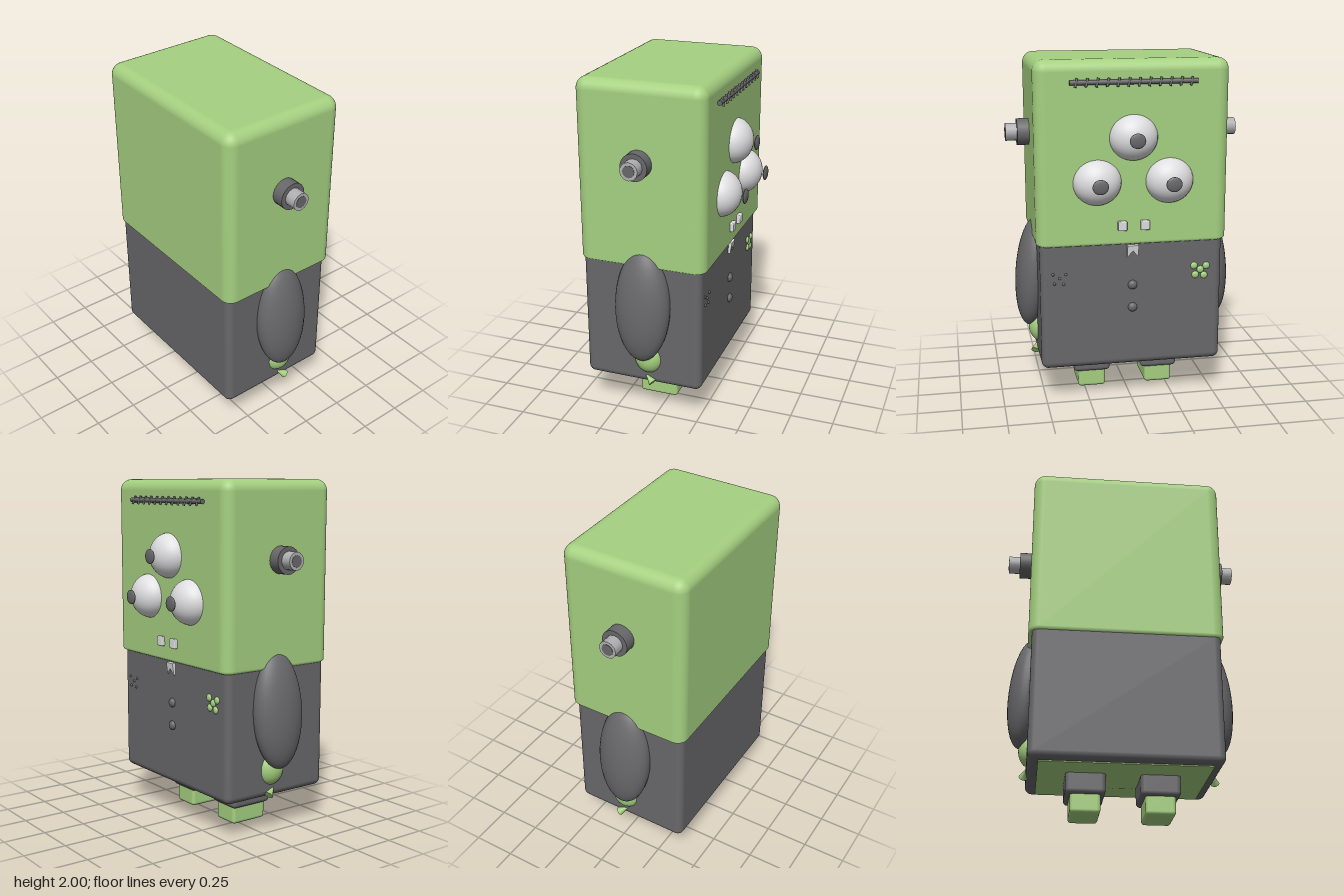
import * as THREE from 'three';
import { RoundedBoxGeometry } from 'three/addons/geometries/RoundedBoxGeometry.js';

export function createModel() {
  const model = new THREE.Group();
  model.name = 'robotFigure';
  const material = (name, color) => {
    const m = new THREE.MeshStandardMaterial({ color });
    m.name = name;
    return m;
  };
  const green = material('leaf green', 0xa5d080);
  const dark = material('charcoal', 0x68686b);
  const grey = material('pale grey', 0xb2b2b4);
  const white = material('eye white', 0xdedee0);

  const add = (name, geometry, mat, x, y, z, parent = model) => {
    const mesh = new THREE.Mesh(geometry, mat);
    mesh.name = name;
    mesh.position.set(x, y, z);
    parent.add(mesh);
    return mesh;
  };
  const block = (w, h, d, r) => new RoundedBoxGeometry(w, h, d, 5, r);
  const ellipsoid = (a, b, c) => new THREE.SphereGeometry(1, 32, 20).scale(a, b, c);

  // Head, with a tighter rounding along its lower edge
  const headGeo = block(1.096, 1.085, 0.74, 0.065);
  const pos = headGeo.attributes.position;
  const seam = -1.085 / 2 + 0.065;
  for (let i = 0; i < pos.count; i++) {
    const y = pos.getY(i);
    if (y < seam) pos.setY(i, seam + (y - seam) * 0.4);
  }
  add('head', headGeo, green, 0, 1.4575, 0.064);

  // Torso and its underside
  add('torso', block(1.056, 0.775, 0.7, 0.04), dark, 0, 0.6125, 0.07);
  add('undersidePanel', new THREE.BoxGeometry(0.94, 0.008, 0.6), green, 0, 0.223, 0.07);
  add('undersideDome', ellipsoid(0.2, 0.03, 0.17), green, 0, 0.235, 0.07);

  for (const s of [1, -1]) {
    const side = s > 0 ? 'left' : 'right';

    // Legs and feet
    add(side + 'Leg', block(0.22, 0.16, 0.27, 0.025), dark, s * 0.205, 0.185, 0.067);
    add(side + 'Foot', block(0.166, 0.16, 0.235, 0.02), green, s * 0.205, 0.083, 0.067);

    // Arms hang slightly outward, with hands below
    const arm = add(side + 'Arm', ellipsoid(0.101, 0.333, 0.162), dark, s * 0.543, 0.727, 0.057);
    arm.rotation.z = s * 0.089;
    add(side + 'Hand', ellipsoid(0.08, 0.1, 0.087), green, s * 0.495, 0.387, 0.038);
    const thumb = add(side + 'Thumb', new THREE.ConeGeometry(0.025, 0.07, 12), green, s * 0.532, 0.262, 0.03);
    thumb.rotation.set(0.9, 0, s * 0.3);

    // Ear knobs
    const ear = new THREE.Group();
    ear.name = side + 'Ear';
    ear.position.set(s * 0.548, 1.565, 0.065);
    ear.rotation.z = -s * Math.PI / 2;
    model.add(ear);
    add('earDisc', new THREE.CylinderGeometry(0.077, 0.077, 0.068, 24), dark, 0, 0.034, 0, ear);
    add('earStub', new THREE.CylinderGeometry(0.051, 0.051, 0.066, 12), grey, 0, 0.1, 0, ear);
    add('earTip', new THREE.CylinderGeometry(0.034, 0.034, 0.008, 12), dark, 0, 0.131, 0, ear);

    // Teeth
    add(side + 'Tooth', block(0.052, 0.055, 0.035, 0.006), white, s * 0.065, 1.075, -0.31);
  }

  // Three bulging eyes, each with a pupil disc in front
  for (const [x, y] of [[-0.205, 1.325], [0, 1.572], [0.205, 1.325]]) {
    add('eye', ellipsoid(0.138, 0.13, 0.115), white, x, y, -0.288);
    add('pupil', ellipsoid(0.045, 0.042, 0.012), dark, x, y, -0.427);
  }

  // Stitched bar across the forehead
  const bar = add('foreheadBar', new THREE.CylinderGeometry(0.014, 0.014, 0.71, 12), dark, 0, 1.88, -0.319);
  bar.rotation.z = Math.PI / 2;
  for (let i = 0; i < 12; i++) {
    const stitch = add('stitch', new THREE.CylinderGeometry(0.007, 0.007, 0.05, 8), dark,
      -0.32 + i * 0.64 / 11, 1.88, -0.327);
    stitch.rotation.set(0.25, 0, 0.25);
  }

  // Notched collar
  const collarShape = new THREE.Shape([[-0.032, 0.035], [0.032, 0.035], [0.032, -0.035],
    [0, 0.002], [-0.032, -0.035]].map(([x, y]) => new THREE.Vector2(x, y)));
  const collarGeo = new THREE.ExtrudeGeometry(collarShape, { depth: 0.02, bevelEnabled: false });
  const collar = add('collar', collarGeo, white, 0, 0.918, -0.297);
  collar.rotation.x = -0.15;

  // Buttons
  for (const y of [0.715, 0.58]) add('button', ellipsoid(0.027, 0.027, 0.02), dark, 0, y, -0.281);

  // Chest ornaments: a green flower on one side, small dark studs on the other
  const petals = [[0, 0], [0.038, 0.025], [0.03, -0.03], [-0.035, 0.022], [-0.022, -0.035]];
  for (const [dx, dy] of petals) {
    add('flowerPetal', ellipsoid(0.021, 0.021, 0.012), green, -0.4 + dx, 0.785 + dy, -0.281);
    add('chestStud', ellipsoid(0.008, 0.008, 0.008), dark, 0.42 + dx, 0.775 + dy, -0.281);
  }
  return model;
}
